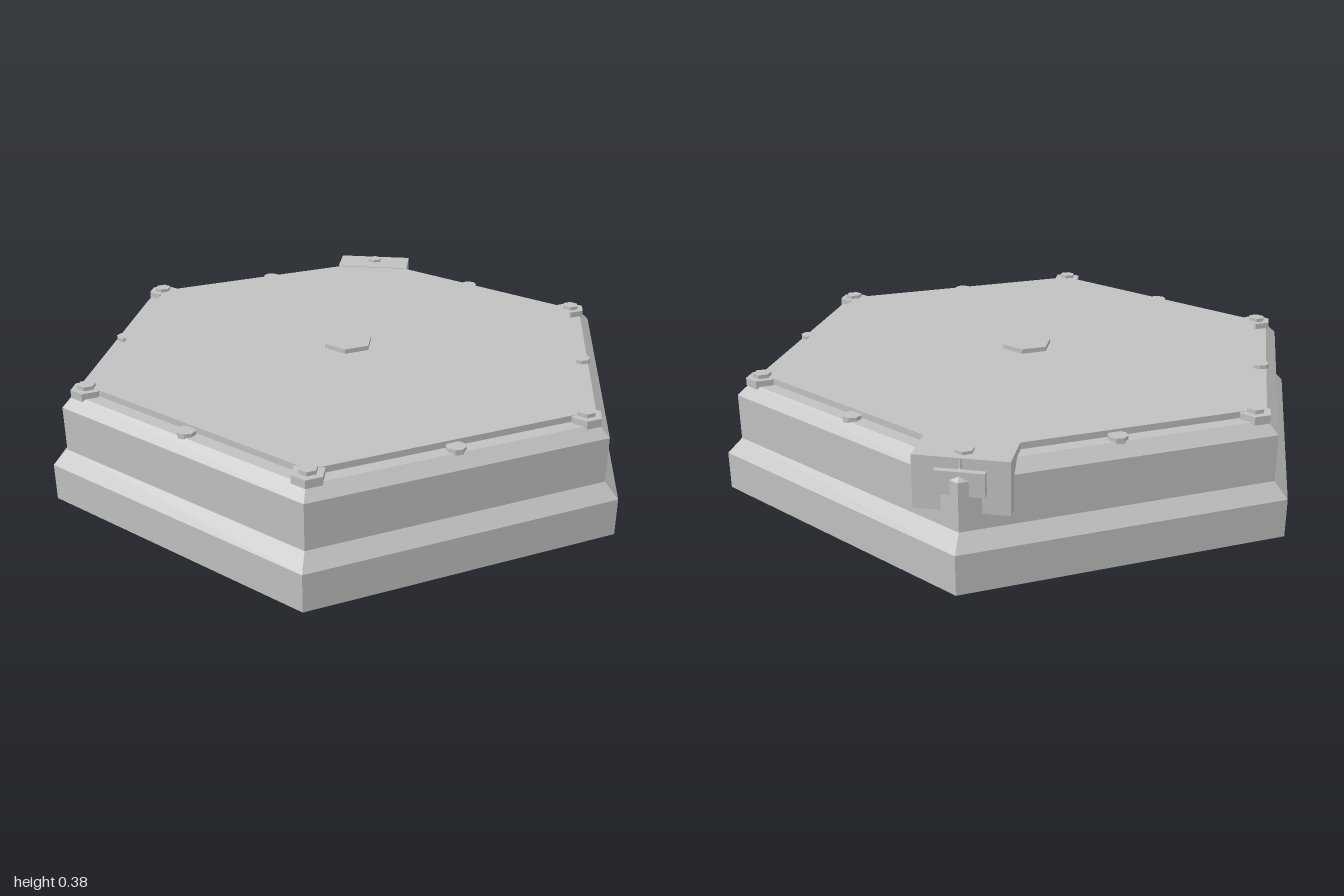
import * as THREE from 'three';

const grey = new THREE.MeshStandardMaterial({ color: 0xc0c0c0, flatShading: true });
grey.name = 'plain grey';

export function createModel() {
  const model = new THREE.Group();
  model.name = 'hexagonalBase';

  const add = (name, geometry, x, y, z, parent = model) => {
    const mesh = new THREE.Mesh(geometry, grey);
    mesh.name = name;
    mesh.position.set(x, y, z);
    parent.add(mesh);
    return mesh;
  };
  // Upright prism standing between two heights
  const prism = (name, radius, bottom, top, sides, x, z, parent) =>
    add(name, new THREE.CylinderGeometry(radius, radius, top - bottom, sides), x, (bottom + top) / 2, z, parent);

  // Stepped six-sided body with sloped shoulders and a raised top plate
  const profile = [
    [0, 0], [1, 0], [1, 0.12], [0.953, 0.165], [0.953, 0.31],
    [0.913, 0.345], [0.865, 0.345], [0.865, 0.365], [0, 0.365],
  ].map(([r, y]) => new THREE.Vector2(r, y));
  add('body', new THREE.LatheGeometry(profile, 6), 0, 0, 0);

  // Centre boss
  prism('centreBoss', 0.083, 0.36, 0.38, 6, 0, 0);

  // Bolts on the corners and small studs halfway along the edges
  for (let i = 0; i < 6; i++) {
    const a = (i * Math.PI) / 3;
    const corner = new THREE.Group();
    corner.name = 'cornerBolt';
    corner.position.set(0.873 * Math.sin(a), 0, 0.873 * Math.cos(a));
    prism('boltPlate', 0.05, 0.338, 0.364, 6, 0, 0, corner);
    prism('boltHead', 0.028, 0.36, 0.376, 6, 0, 0, corner);
    model.add(corner);

    const b = a + Math.PI / 6;
    prism('edgeStud', 0.029, 0.34, 0.357, 8, 0.769 * Math.sin(b), 0.769 * Math.cos(b));
  }

  // Bracket wrapped around the rear corner, with a raised catch
  const bracket = new THREE.Group();
  bracket.name = 'rearBracket';
  add('bracketBlock', new THREE.BoxGeometry(0.27, 0.157, 0.13), 0, 0.2885, -0.855, bracket);
  add('bracketCatch', new THREE.BoxGeometry(0.14, 0.07, 0.04), 0, 0.3, -0.918, bracket);
  model.add(bracket);

  return model;
}
